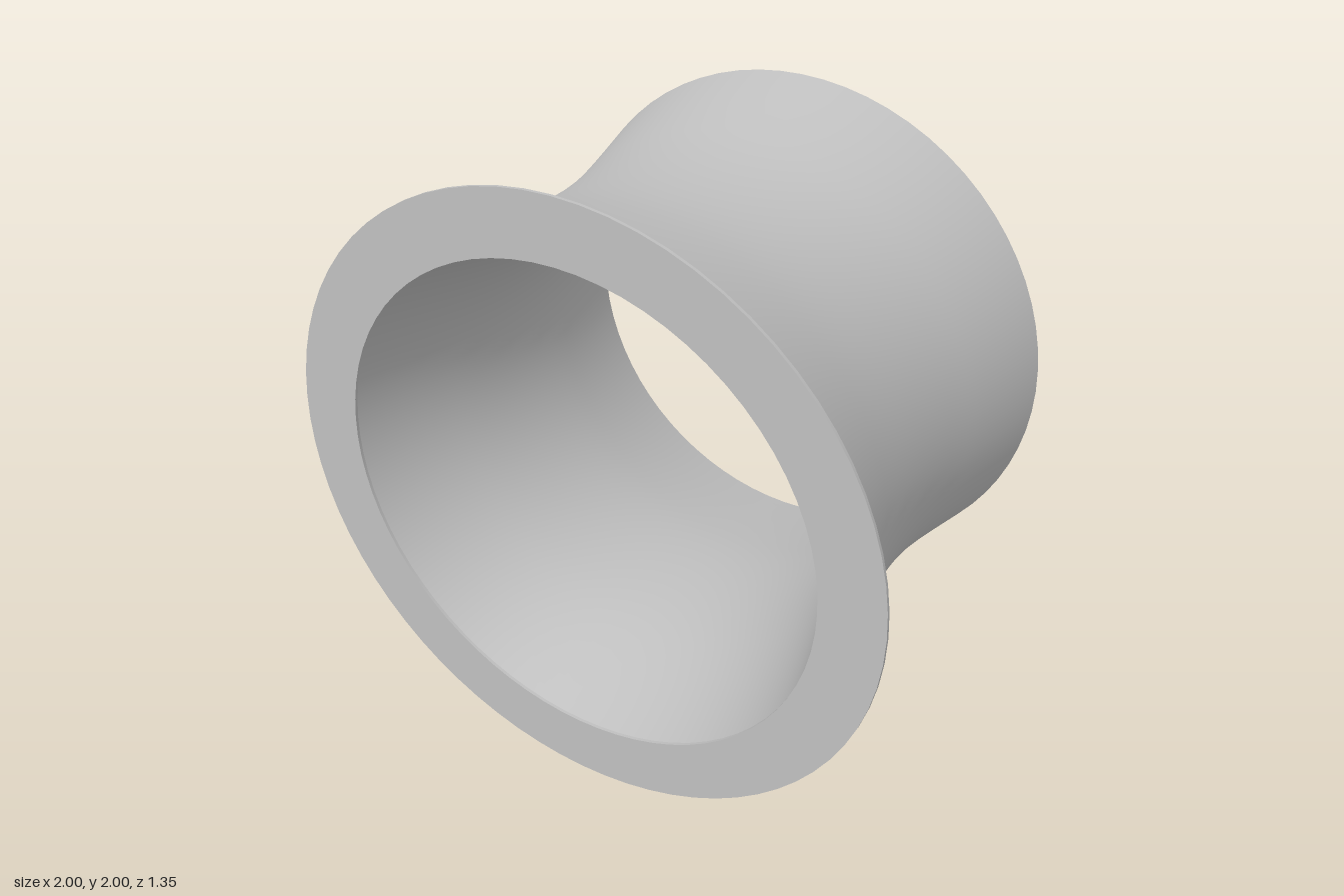
import * as THREE from 'three';

const SEGMENTS = 72;

// Revolves [radius, z] points about the z axis; counterclockwise order faces outward
function revolve(name, points, material) {
  const geometry = new THREE.LatheGeometry(points.map(([r, z]) => new THREE.Vector2(r, z)), SEGMENTS);
  geometry.rotateX(Math.PI / 2);
  const mesh = new THREE.Mesh(geometry, material);
  mesh.name = name;
  return mesh;
}

export function createModel() {
  const grey = new THREE.MeshStandardMaterial({ color: 0xc0c0c0 });
  grey.name = 'grey';

  const back = -0.675, joint = 0.665, front = 0.675;
  const wall = 0.108;

  // Waisted outer profile, back to front
  const waist = new THREE.SplineCurve([
    [0.9, back], [0.84, -0.4], [0.807, -0.2], [0.796, 0],
    [0.807, 0.2], [0.842, 0.4], [0.908, joint],
  ].map(([r, z]) => new THREE.Vector2(r, z)));
  const outer = waist.getPoints(28).map((p) => [p.x, p.y]);
  const inner = outer.map(([r, z]) => [r - wall, z]).reverse();

  // Hollow waisted tube
  const tube = new THREE.Group();
  tube.name = 'tube';
  tube.add(
    revolve('tubeOuterWall', outer, grey),
    revolve('tubeInnerWall', inner, grey),
    revolve('tubeBackRim', [inner[inner.length - 1], outer[0]], grey),
  );

  // Thin flange around the front mouth
  const hole = 0.8, rim = 1;
  const flange = new THREE.Group();
  flange.name = 'flange';
  flange.add(
    revolve('flangeBack', [[hole, joint], [rim, joint]], grey),
    revolve('flangeEdge', [[rim, joint], [rim, front]], grey),
    revolve('flangeFront', [[rim, front], [hole, front]], grey),
    revolve('flangeBore', [[hole, front], [hole, joint]], grey),
  );

  const model = new THREE.Group();
  model.name = 'flangedSleeve';
  model.add(tube, flange);
  tube.position.y = flange.position.y = 1;
  return model;
}
